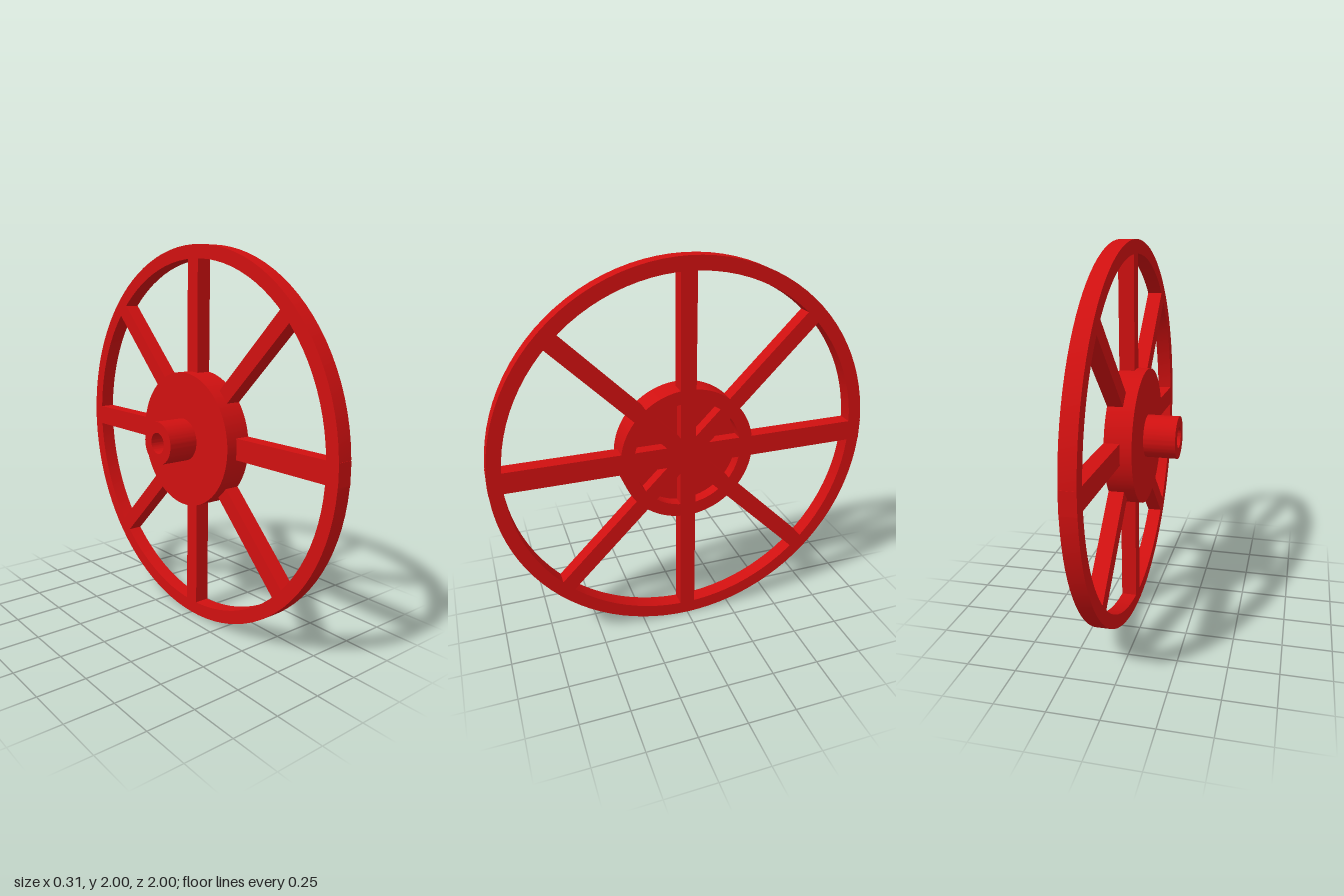
import * as THREE from 'three';
import { toCreasedNormals } from 'three/addons/utils/BufferGeometryUtils.js';

const red = new THREE.MeshStandardMaterial({ color: 0xd01010 });
red.name = 'red';

const FRONT = 0.152, BACK = 0.072; // x range of the rim and spokes

// Revolves a [radius, x] profile about the x axis
function turned(name, profile) {
  const points = profile.map(([r, x]) => new THREE.Vector2(r, x));
  const geometry = toCreasedNormals(new THREE.LatheGeometry(points, 96), 0.6);
  geometry.rotateZ(-Math.PI / 2);
  const mesh = new THREE.Mesh(geometry, red);
  mesh.name = name;
  return mesh;
}

export function createModel() {
  const wheel = new THREE.Group();
  wheel.name = 'spokedWheel';

  // Outer ring
  wheel.add(turned('rim', [
    [1, BACK], [1, FRONT], [0.93, FRONT], [0.93, BACK], [1, BACK],
  ]));

  // Hub disc with a recessed face, and a bored boss behind it
  wheel.add(turned('hub', [
    [0, 0.05], [0.055, 0.05], [0.055, -0.155], [0.112, -0.155],
    [0.112, 0.012], [0.355, 0.012], [0.355, FRONT], [0.285, FRONT],
    [0.285, 0.09], [0, 0.09],
  ]));

  // Four bars crossing the centre make eight spokes; the level one is wider
  for (let i = 0; i < 4; i++) {
    const level = i === 2;
    const geometry = new THREE.BoxGeometry(FRONT - BACK, level ? 2 : 1.94, level ? 0.11 : 0.082);
    const bar = new THREE.Mesh(geometry, red);
    bar.name = `spokeBar${i + 1}`;
    bar.position.x = (FRONT + BACK) / 2;
    bar.rotation.x = (i * Math.PI) / 4;
    wheel.add(bar);
  }

  wheel.position.y = 1;
  const model = new THREE.Group();
  model.name = 'wheelModel';
  model.add(wheel);
  return model;
}
